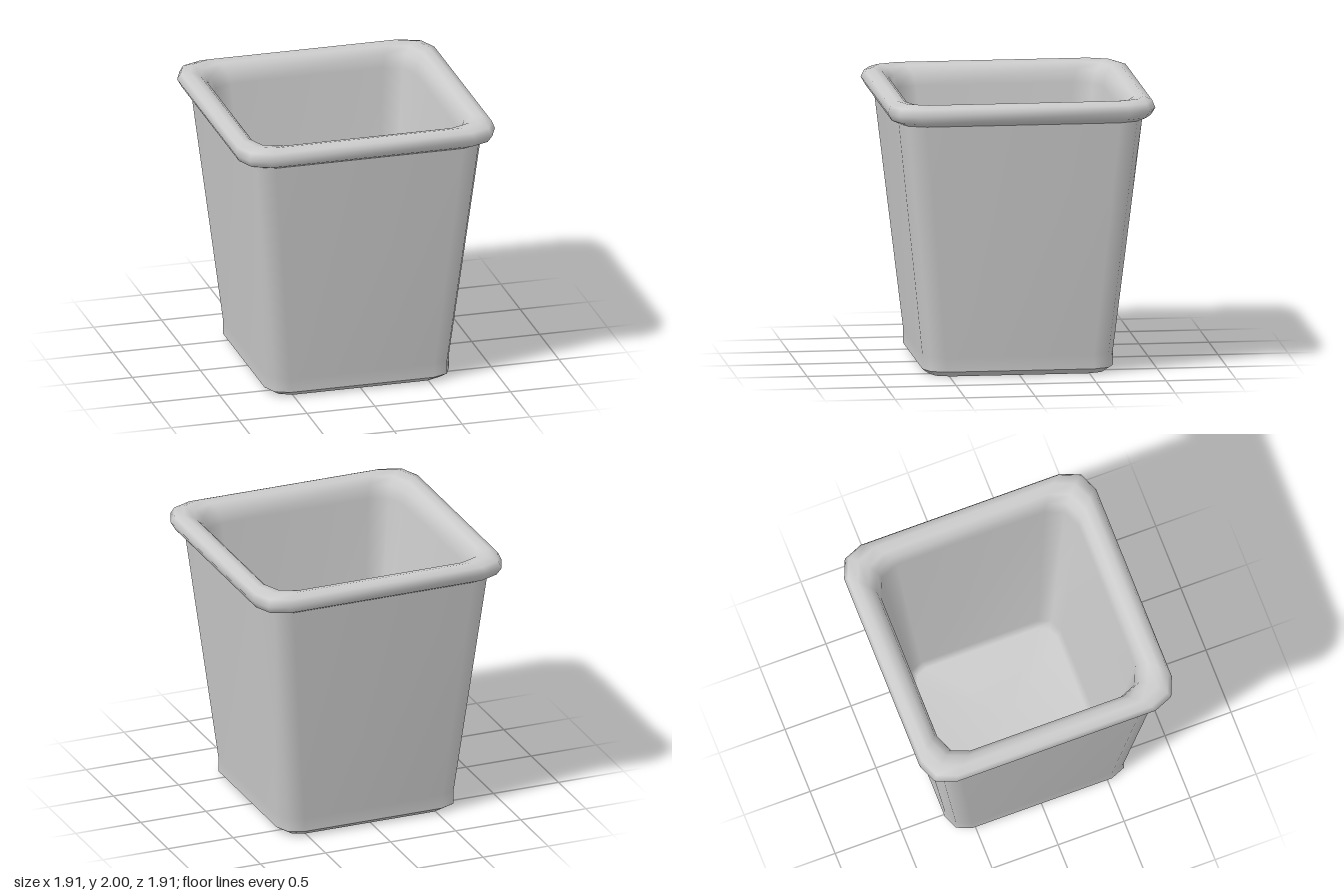
import * as THREE from 'three';

// Rounded-square ring: half width, height, corner radius (two facets per corner)
function ring(half, y, radius) {
  const points = [];
  const c = half - radius;
  for (let corner = 0; corner < 4; corner++) {
    const mid = Math.PI / 4 + corner * Math.PI / 2;
    const sx = Math.sign(Math.cos(mid)), sz = Math.sign(Math.sin(mid));
    for (let k = -1; k <= 1; k++) {
      const a = mid + k * Math.PI / 4;
      points.push([sx * c + radius * Math.cos(a), y, sz * c + radius * Math.sin(a)]);
    }
  }
  return points;
}

// Skin a profile of [half width, height, corner radius] with smooth normals
function loft(name, profile, material) {
  const n = 12, index = [];
  const positions = profile.flatMap(([h, y, r]) => ring(h, y, r).flat());
  for (let i = 0; i < profile.length - 1; i++) {
    for (let j = 0; j < n; j++) {
      const a = i * n + j, b = i * n + (j + 1) % n;
      index.push(a, a + n, b, b, a + n, b + n);
    }
  }
  const geometry = new THREE.BufferGeometry();
  geometry.setAttribute('position', new THREE.Float32BufferAttribute(positions, 3));
  geometry.setIndex(index);
  geometry.computeVertexNormals();
  const mesh = new THREE.Mesh(geometry, material);
  mesh.name = name;
  return mesh;
}

export function createModel() {
  const group = new THREE.Group();
  group.name = 'squarePot';
  const material = new THREE.MeshStandardMaterial({ color: 0xcccccc, side: THREE.DoubleSide });

  // Recessed underside, its side wall, and the bevelled foot
  group.add(loft('underside', [[0, 0.08, 0], [0.57, 0.08, 0.12]], material));
  group.add(loft('recessWall', [[0.57, 0.08, 0.12], [0.58, 0, 0.12]], material));
  group.add(loft('foot', [[0.58, 0, 0.12], [0.63, 0, 0.14], [0.68, 0.04, 0.15]], material));

  // Tapered outer wall with a short upright band at the base
  group.add(loft('outerWall', [[0.68, 0.04, 0.15], [0.68, 0.14, 0.15], [0.87, 1.84, 0.18]], material));

  // Rolled rim running into the inner wall and floor
  group.add(loft('rimAndInside', [
    [0.87, 1.84, 0.18], [0.925, 1.87, 0.19], [0.955, 1.925, 0.2], [0.935, 1.975, 0.2],
    [0.88, 2.0, 0.2], [0.82, 1.985, 0.2], [0.775, 1.94, 0.19], [0.75, 1.85, 0.19],
    [0.57, 0.18, 0.13], [0.53, 0.14, 0.11], [0, 0.14, 0],
  ], material));

  return group;
}
